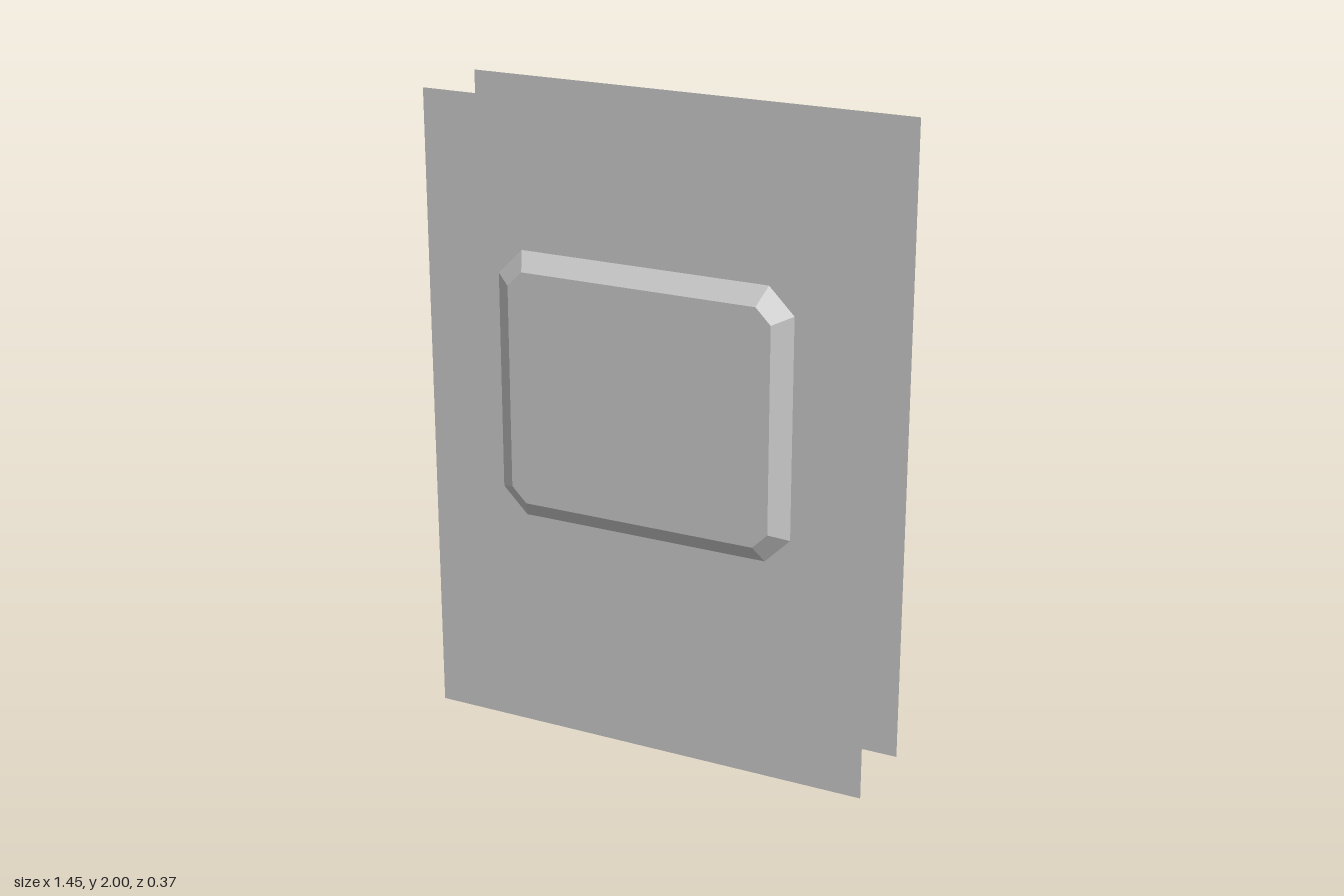
import * as THREE from 'three';

const PAD_Y = 1.125; // centre height of the raised pad
const SHEET_Z = 0.145;
const PAD_Z = 0.187;

// Rectangle with chamfered corners, counter-clockwise seen from +z
function chamferedRect(halfW, halfH, cutX, cutY) {
  return [
    [halfW, -halfH + cutY], [halfW, halfH - cutY],
    [halfW - cutX, halfH], [-halfW + cutX, halfH],
    [-halfW, halfH - cutY], [-halfW, -halfH + cutY],
    [-halfW + cutX, -halfH], [halfW - cutX, -halfH],
  ].map(([x, y]) => new THREE.Vector2(x, y + PAD_Y));
}

// Sloped band of flat quads joining two outlines at different depths
function bevelBand(outer, inner, z0, z1) {
  const positions = [];
  outer.forEach((a, i) => {
    const j = (i + 1) % outer.length;
    const b = outer[j], c = inner[j], d = inner[i];
    positions.push(a.x, a.y, z0, b.x, b.y, z0, c.x, c.y, z1);
    positions.push(a.x, a.y, z0, c.x, c.y, z1, d.x, d.y, z1);
  });
  const geometry = new THREE.BufferGeometry();
  geometry.setAttribute('position', new THREE.Float32BufferAttribute(positions, 3));
  geometry.computeVertexNormals();
  return geometry;
}

function createPanel(name, material) {
  const panel = new THREE.Group();
  panel.name = name;
  const add = (part, geometry) => {
    const mesh = new THREE.Mesh(geometry, material);
    mesh.name = part;
    panel.add(mesh);
  };
  const outer = chamferedRect(0.481, 0.421, 0.08, 0.08);
  const inner = chamferedRect(0.427, 0.366, 0.048, 0.048);

  // Thin sheet, open where the pad rises out of it
  const sheet = new THREE.Shape([
    new THREE.Vector2(-0.725, 0), new THREE.Vector2(0.725, 0),
    new THREE.Vector2(0.725, 2), new THREE.Vector2(-0.725, 2),
  ]);
  sheet.holes.push(new THREE.Path(outer));
  add('sheet', new THREE.ShapeGeometry(sheet).translate(0, 0, SHEET_Z));

  // Raised pad: sloped rim and flat face
  add('padRim', bevelBand(outer, inner, SHEET_Z, PAD_Z));
  add('padFace', new THREE.ShapeGeometry(new THREE.Shape(inner)).translate(0, 0, PAD_Z));
  return panel;
}

export function createModel() {
  const model = new THREE.Group();
  model.name = 'doublePanel';
  const material = new THREE.MeshStandardMaterial({
    color: 0xcccccc, flatShading: true, side: THREE.DoubleSide,
  });

  // Two identical panels, back to back
  const front = createPanel('frontPanel', material);
  const back = createPanel('backPanel', material);
  back.rotation.y = Math.PI;
  model.add(front, back);
  return model;
}
